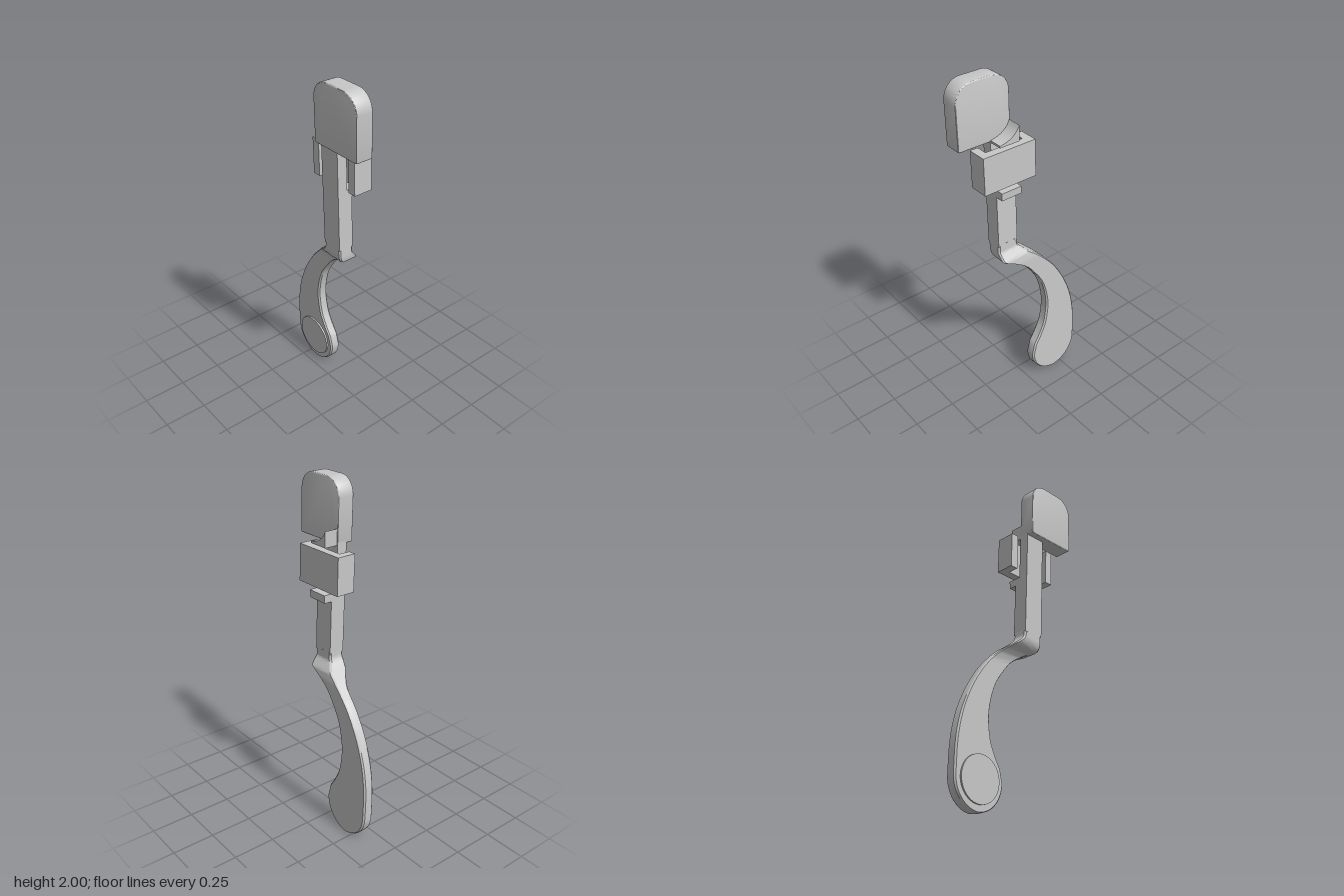
import * as THREE from 'three';
import { toCreasedNormals } from 'three/addons/utils/BufferGeometryUtils.js';

const gray = new THREE.MeshStandardMaterial({ color: 0xc8c8c8 });
gray.name = 'plain gray';

const lerp = THREE.MathUtils.lerp;

// Piecewise-linear lookup in [y, z] pairs sorted from high y to low y
function lookup(table, y) {
  if (y >= table[0][0]) return table[0][1];
  for (let i = 1; i < table.length; i++) {
    const [y0, z0] = table[i - 1], [y1, z1] = table[i];
    if (y >= y1) return lerp(z1, z0, (y - y1) / (y0 - y1));
  }
  return table[table.length - 1][1];
}

// Lean a geometry forward with height
function lean(geo, slope, y0) {
  const p = geo.attributes.position;
  for (let i = 0; i < p.count; i++) p.setZ(i, p.getZ(i) + (p.getY(i) - y0) * slope);
  return geo;
}

const shapeOf = (pts) => new THREE.Shape(pts.map(([x, y]) => new THREE.Vector2(x, y)));

const curveOf = (pts) => new THREE.CatmullRomCurve3(
  pts.map(([x, y]) => new THREE.Vector3(x, y, 0)), false, 'catmullrom', 0.5);

// Curved lever: cross-sections between a left and a right edge, stepping back at the jog
function leverGeometry() {
  const left = curveOf([[0.035, 1.04], [0.03, 1], [0, 0.965], [-0.082, 0.9], [-0.176, 0.8],
    [-0.244, 0.7], [-0.294, 0.6], [-0.33, 0.5], [-0.351, 0.4], [-0.359, 0.31], [-0.36, 0.22]]);
  const right = curveOf([[0.162, 1.04], [0.162, 0.965], [0.148, 0.935], [0.09, 0.908],
    [0.016, 0.86], [-0.037, 0.8], [-0.105, 0.69], [-0.139, 0.54], [-0.127, 0.4],
    [-0.094, 0.315], [-0.049, 0.24]]);
  const front = [[1.04, 0.05], [0.98, 0.048], [0.95, 0.035], [0.92, 0.002], [0.89, -0.02],
    [0.85, -0.033], [0, -0.058]];
  const back = [[1.04, -0.042], [0.99, -0.045], [0.965, -0.065], [0.94, -0.085],
    [0.9, -0.092], [0, -0.124]];
  const stations = [];
  for (let i = 0; i <= 80; i++) stations.push([left.getPoint(i / 80), right.getPoint(i / 80)]);
  // round lower end
  for (let i = 0; i <= 20; i++) {
    const a = (i / 20) * 1.54, dx = 0.164 * Math.cos(a), y = 0.168 - 0.167 * Math.sin(a);
    stations.push([new THREE.Vector3(-0.195 - dx, y, 0), new THREE.Vector3(-0.195 + dx, y, 0)]);
  }
  const pos = [], idx = [], n = 10;
  for (const [l, r] of stations) {
    const c = 0.009, u = Math.min(0.3, c / l.distanceTo(r));
    const section = [[0, 1, c], [u, 1, 0], [0.5, 1, 0], [1 - u, 1, 0], [1, 1, c],
      [1, 0, c], [1 - u, 0, 0], [0.5, 0, 0], [u, 0, 0], [0, 0, c]];
    for (const [t, isFront, inset] of section) {
      const x = lerp(l.x, r.x, t), y = lerp(l.y, r.y, t);
      pos.push(x, y, isFront ? lookup(front, y) - inset : lookup(back, y) + inset);
    }
  }
  const last = stations.length - 1;
  for (let i = 0; i < last; i++) {
    for (let j = 0; j < n; j++) {
      const a = i * n + j, b = i * n + (j + 1) % n;
      idx.push(a, a + n, b + n, a, b + n, b);
    }
  }
  for (let j = 1; j < n - 1; j++) {
    idx.push(0, j, j + 1);
    idx.push(last * n, last * n + j + 1, last * n + j);
  }
  const geo = new THREE.BufferGeometry();
  geo.setAttribute('position', new THREE.Float32BufferAttribute(pos, 3));
  geo.setIndex(idx);
  return toCreasedNormals(geo, 0.5);
}

// Straight arm with a rear recess and a ledge, drawn in side profile
function armGeometry() {
  const profile = shapeOf([[-0.05, 1.03], [-0.074, 1.67], [-0.014, 1.67], [-0.003, 1.39],
    [0.078, 1.39], [0.076, 1.345], [0.03, 1.345], [0.042, 1.03]].reverse());
  const geo = new THREE.ExtrudeGeometry(profile, { depth: 0.127, bevelEnabled: false });
  return geo.rotateY(Math.PI / 2).translate(0.035, 0, 0);
}

// Head pad with rounded top corners and a fine rounded rim
function padGeometry() {
  const x0 = 0.035, x1 = 0.358, y0 = 1.653, y1 = 2, r = 0.1, q = 0.012;
  const s = new THREE.Shape();
  s.moveTo(x0 + q, y0);
  s.lineTo(x1 - q, y0);
  s.quadraticCurveTo(x1, y0, x1, y0 + q);
  s.lineTo(x1, y1 - r);
  s.absarc(x1 - r, y1 - r, r, 0, Math.PI / 2, false);
  s.lineTo(x0 + r, y1);
  s.absarc(x0 + r, y1 - r, r, Math.PI / 2, Math.PI, false);
  s.lineTo(x0, y0 + q);
  s.quadraticCurveTo(x0, y0, x0 + q, y0);
  const b = 0.006;
  const geo = new THREE.ExtrudeGeometry(s, {
    depth: 0.101 - 2 * b, bevelSize: b, bevelThickness: b, bevelOffset: -b,
    bevelSegments: 3, curveSegments: 14,
  });
  return toCreasedNormals(lean(geo.translate(0, 0, 0.012 + b), 0.033, y0), 0.45);
}

// U-shaped bracket wrapped around the back of the arm
function bracketGeometry() {
  const u = shapeOf([[-0.067, -0.044], [-0.019, -0.044], [-0.019, 0.021], [0.217, 0.021],
    [0.217, -0.044], [0.265, -0.044], [0.265, 0.068], [-0.067, 0.068]]);
  const geo = new THREE.ExtrudeGeometry(u, { depth: 0.212, bevelEnabled: false });
  return lean(geo.rotateX(-Math.PI / 2).translate(0, 1.413, 0), 0.036, 1.52);
}

// Tab behind the pad with a hollow sloping top
function tabGeometry() {
  const s = new THREE.Shape();
  s.moveTo(0.04, 1.65);
  s.lineTo(0.162, 1.65);
  s.lineTo(0.162, 1.662);
  s.quadraticCurveTo(0.07, 1.672, 0.04, 1.74);
  const geo = new THREE.ExtrudeGeometry(s, { depth: 0.09, bevelEnabled: false, curveSegments: 12 });
  return toCreasedNormals(geo.translate(0, 0, -0.066), 0.5);
}

export function createModel() {
  const model = new THREE.Group();
  model.name = 'lever';
  const add = (name, geo) => {
    const mesh = new THREE.Mesh(geo, gray);
    mesh.name = name;
    model.add(mesh);
    return mesh;
  };
  add('curvedLever', leverGeometry());
  add('arm', armGeometry());
  add('headPad', padGeometry());
  add('bracket', bracketGeometry());
  add('rearTab', tabGeometry());
  // Raised round button on the lower end
  const button = add('button', new THREE.CylinderGeometry(0.128, 0.128, 0.025, 48));
  button.rotation.x = Math.PI / 2 + 0.03;
  button.position.set(-0.195, 0.165, -0.056);
  return model;
}
